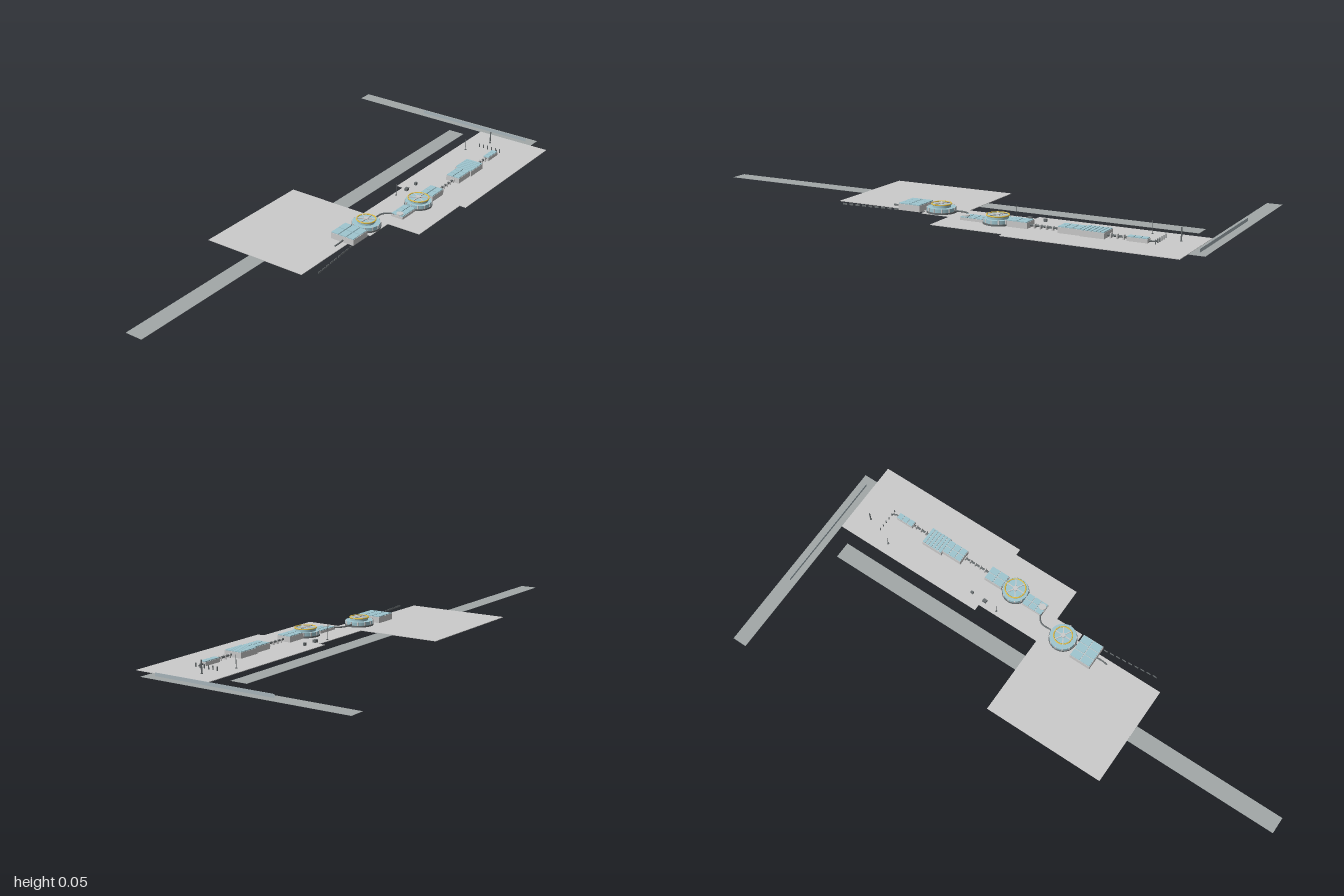
import * as THREE from 'three';

const mat = (color) => new THREE.MeshStandardMaterial({ color, side: THREE.DoubleSide });
const grey = mat(0xcccccc), road = mat(0xa2a8a8), blue = mat(0x9fc6d0);
const dark = mat(0x6a7072), yellow = mat(0xe6c24a), panel = mat(0xa9b6bc);

export function createModel() {
  const root = new THREE.Group();
  root.name = 'processSite';

  const add = (parent, name, geometry, material, x = 0, y = 0, z = 0) => {
    const mesh = new THREE.Mesh(geometry, material);
    mesh.name = name;
    mesh.position.set(x, y, z);
    parent.add(mesh);
    return mesh;
  };
  // Box given by its extents on each axis
  const box = (name, x0, x1, y0, y1, z0, z1, material = grey, parent = root) =>
    add(parent, name, new THREE.BoxGeometry(x1 - x0, y1 - y0, z1 - z0), material,
      (x0 + x1) / 2, (y0 + y1) / 2, (z0 + z1) / 2);
  const drum = (name, r, y0, y1, x, z, material = grey, parent = root, sides = 32) =>
    add(parent, name, new THREE.CylinderGeometry(r, r, y1 - y0, sides), material, x, (y0 + y1) / 2, z);
  const pipe = (name, points, r = 0.004, material = dark) =>
    add(root, name, new THREE.TubeGeometry(
      new THREE.CatmullRomCurve3(points.map((p) => new THREE.Vector3(...p))), 24, r, 8), material);

  // Roads and ground pads
  box('longRoad', -1, 0.885, 0, 0.001, 0.03, 0.095, road);
  box('sideRoad', 0.945, 1, 0, 0.001, -0.445, 0.365, road);
  box('westPad', -0.4, 0.08, 0, 0.002, -0.15, 0.25);
  box('linkPad', -0.045, 0.065, 0, 0.002, 0.25, 0.28);
  box('middlePad', 0.065, 0.335, 0, 0.002, 0.165, 0.41);
  box('eastPad', 0.335, 0.945, 0, 0.002, 0.14, 0.435);

  // Thin screen standing along the side road
  [[-0.145, 0.06], [0.06, 0.26], [0.26, 0.33]].forEach(([z0, z1]) =>
    box('roadScreen', 0.9695, 0.9705, 0.001, 0.013, z0, z1, panel));

  // Building with a roof split into a grid of raised panels
  const building = (name, x0, x1, z0, z1, h, nx, nz) => {
    const g = new THREE.Group();
    g.name = name;
    root.add(g);
    box('walls', x0, x1, 0.002, h - 0.003, z0, z1, grey, g);
    const dx = (x1 - x0) / nx, dz = (z1 - z0) / nz, gap = 0.0015;
    for (let i = 0; i < nx; i++) for (let k = 0; k < nz; k++) {
      box('roofPanel', x0 + i * dx + gap, x0 + (i + 1) * dx - gap, h - 0.003, h,
        z0 + k * dz + gap, z0 + (k + 1) * dz - gap, blue, g);
    }
    return g;
  };
  building('westHall', -0.14, -0.055, 0.18, 0.275, 0.027, 2, 3);
  building('pumpHouse', 0.12, 0.205, 0.255, 0.305, 0.014, 3, 2);
  building('centreHall', 0.3, 0.375, 0.26, 0.315, 0.025, 2, 2);
  building('controlHall', 0.485, 0.565, 0.26, 0.315, 0.025, 3, 2);
  building('finnedHall', 0.565, 0.65, 0.25, 0.32, 0.025, 6, 1);
  building('endHall', 0.72, 0.79, 0.28, 0.305, 0.018, 3, 1);

  // Round tanks with a raised deck, yellow guard ring and radial beams
  const tank = (x, z, r, deck) => {
    const g = new THREE.Group();
    g.name = 'roundTank';
    g.position.set(x, 0, z);
    root.add(g);
    drum('base', r + 0.003, 0.002, 0.008, 0, 0, dark, g);
    drum('shell', r, 0.008, 0.02, 0, 0, blue, g);
    drum('upperDeck', deck - 0.004, 0.02, 0.03, 0, 0, blue, g);
    const ring = add(g, 'guardRing', new THREE.TorusGeometry(deck - 0.002, 0.0025, 6, 32), yellow, 0, 0.031, 0);
    ring.rotation.x = Math.PI / 2;
    for (let i = 0; i < 3; i++) {
      const beam = box('radialBeam', -deck, deck, 0.03, 0.033, -0.002, 0.002, grey, g);
      beam.rotation.y = i * Math.PI / 3;
    }
    drum('hub', 0.009, 0.03, 0.035, 0, 0, grey, g, 16);
    for (let i = 0; i < 12; i++) {
      const a = i * Math.PI / 6;
      box('rib', -0.002, 0.002, 0.002, 0.021, -0.002, 0.002, grey, g)
        .position.set(Math.cos(a) * r, 0.0115, Math.sin(a) * r);
    }
  };
  tank(0.005, 0.228, 0.05, 0.036);
  tank(0.253, 0.285, 0.048, 0.04);
  drum('smallVessel', 0.013, 0.002, 0.017, 0.133, 0.285, grey, root, 20);

  // Pipe runs joining the buildings
  pipe('inletPipe', [[-0.185, 0.007, 0.23], [-0.16, 0.009, 0.232], [-0.135, 0.01, 0.23]], 0.003);
  pipe('westLink', [[-0.06, 0.011, 0.23], [-0.045, 0.011, 0.23]]);
  pipe('curvedLink', [[0.05, 0.011, 0.228], [0.1, 0.011, 0.23], [0.12, 0.011, 0.25], [0.125, 0.011, 0.275]], 0.003);
  pipe('eastLink', [[0.37, 0.011, 0.29], [0.43, 0.011, 0.29], [0.49, 0.011, 0.29]]);
  pipe('outletPipe', [[0.645, 0.011, 0.292], [0.725, 0.011, 0.292]]);
  pipe('endPipe', [[0.785, 0.008, 0.292], [0.8, 0.008, 0.292], [0.815, 0.008, 0.285]], 0.003);
  for (let x = 0.39; x < 0.48; x += 0.022) box('pipeRack', x, x + 0.004, 0.002, 0.016, 0.283, 0.297);
  for (let x = 0.66; x < 0.72; x += 0.022) box('pipeRack', x, x + 0.004, 0.002, 0.018, 0.285, 0.299);

  // Low dashed barrier west of the hall
  for (let i = 0; i < 9; i++) {
    const x = -0.36 + i * 0.025;
    box('barrier', x, x + 0.016, 0, 0.006, 0.288 - i * 0.002, 0.29 - i * 0.002, dark);
  }

  // Posts, cabinets and slim masts
  for (let i = 0; i < 6; i++) drum('post', 0.002, 0.002, 0.016, 0.815, 0.21 + i * 0.018, dark, root, 8);
  box('cabinet', 0.317, 0.332, 0.002, 0.012, 0.183, 0.195, dark);
  box('cabinet', 0.377, 0.388, 0.002, 0.012, 0.187, 0.195, dark);
  [[0.267, 0.18, 0.001], [0.758, 0.18, 0.001], [0.872, 0.225, 0.0025]].forEach(([x, z, r]) => {
    drum('mast', r, 0, 0.048, x, z, dark, root, 8);
    drum('mastFoot', 0.004, 0.001, 0.004, x, z, dark, root, 8);
  });

  return root;
}
